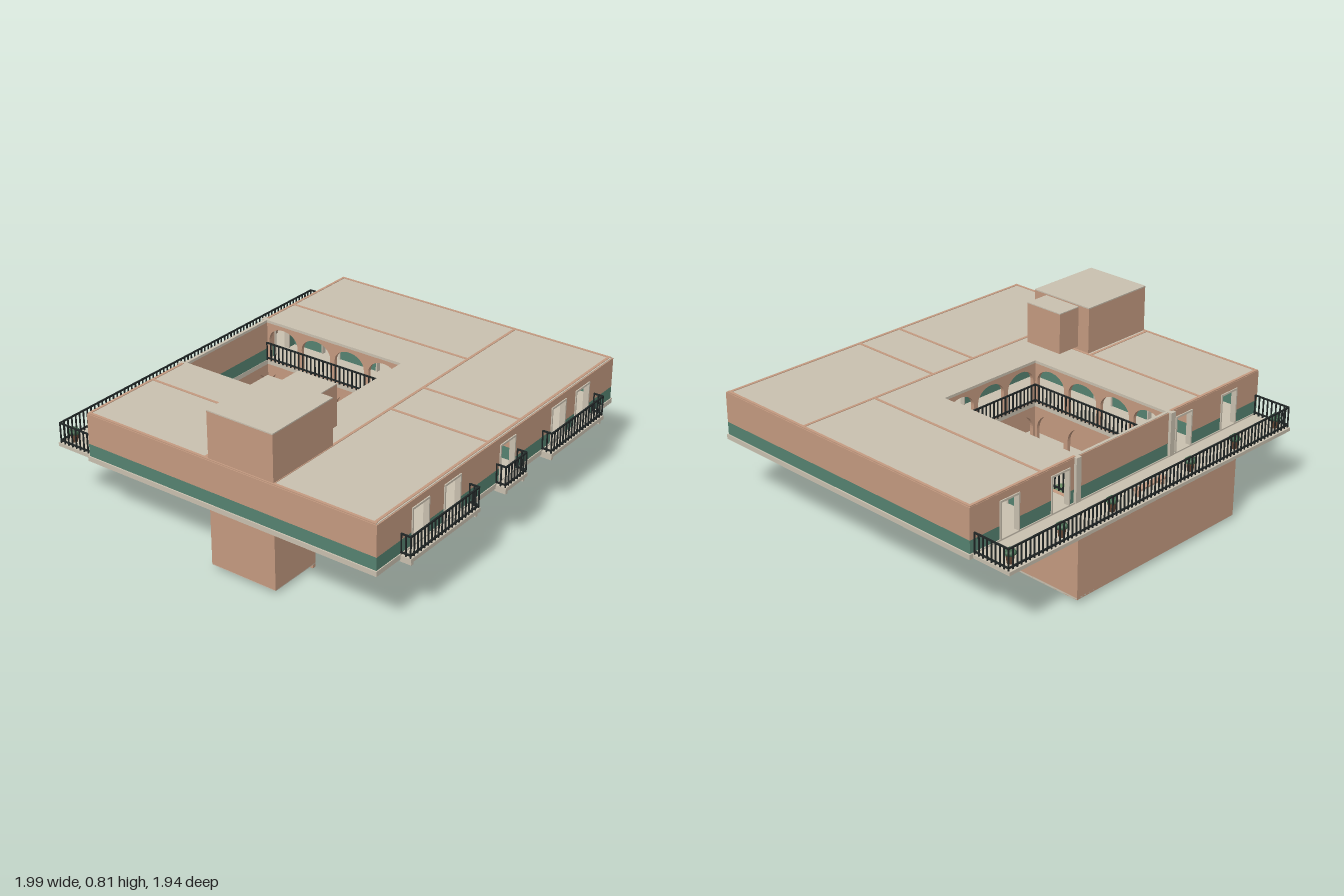
import * as THREE from 'three';
import { mergeGeometries } from 'three/addons/utils/BufferGeometryUtils.js';

const mat = (name, color, side = THREE.FrontSide) =>
  Object.assign(new THREE.MeshStandardMaterial({ color, side }), { name });

export function createModel() {
  const terracotta = mat('terracotta plaster', 0xc49a80);
  const stone = mat('pale stone', 0xc9c0af);
  const green = mat('green dado', 0x558270);
  const iron = mat('black iron', 0x202626);
  const leaf = mat('tree foliage', 0x6d8f65);
  const darkLeaf = mat('pot plant foliage', 0x41684c);
  const wood = mat('brown wood', 0x6b4a36);

  const root = new THREE.Group();
  const add = (name, geo, material) => {
    const m = new THREE.Mesh(geo, material);
    m.name = name;
    root.add(m);
    return m;
  };
  // box from its minimum and maximum corners
  const boxGeo = (x0, x1, y0, y1, z0, z1) =>
    new THREE.BoxGeometry(x1 - x0, y1 - y0, z1 - z0)
      .translate((x0 + x1) / 2, (y0 + y1) / 2, (z0 + z1) / 2);
  const box = (name, material, ...b) => add(name, boxGeo(...b), material);
  // box along x or z: a..b on the axis, c..d across it
  const along = (axis, a, b, y0, y1, c, d) =>
    axis === 'x' ? boxGeo(a, b, y0, y1, c, d) : boxGeo(c, d, y0, y1, a, b);

  const FLOOR = 0.345, DADO = 0.41, DOOR = 0.53, ROOF = 0.567;
  const court = { x: 0.31, z0: -0.73, z1: 0.11 };

  // flat slab with the courtyard cut out
  function courtSlab(name, x, z0, z1, yTop, h) {
    const rect = (P, a, b, c, d) => new P([[a, c], [b, c], [b, d], [a, d]].map(p => new THREE.Vector2(...p)));
    const s = rect(THREE.Shape, -x, x, z0, z1);
    s.holes.push(rect(THREE.Path, -court.x, court.x, court.z0, court.z1));
    const g = new THREE.ExtrudeGeometry(s, { depth: h, bevelEnabled: false });
    add(name, g.rotateX(Math.PI / 2).translate(0, yTop, 0), stone);
  }

  // upper storey wall with green dado, door openings and stone door frames
  function wall(name, axis, a, b, c, d, doors = [], outside = 0) {
    const low = [], high = [], frames = [];
    let p = a;
    for (const [s, e] of [...doors, [b, b]]) {
      if (s > p) {
        low.push(along(axis, p, s, FLOOR, DADO, c, d));
        high.push(along(axis, p, s, DADO, ROOF, c, d));
      }
      if (e > s) {
        high.push(along(axis, s, e, DOOR, ROOF, c, d));
        const f0 = c - 0.006, f1 = d + 0.006, w = 0.008;
        frames.push(along(axis, s, s + w, FLOOR, DOOR, f0, f1), along(axis, e - w, e, FLOOR, DOOR, f0, f1),
          along(axis, s, e, DOOR - w, DOOR + 0.002, f0, f1));
      }
      p = e;
    }
    add(name + 'Dado', mergeGeometries(low), green);
    add(name, mergeGeometries(high), terracotta);
    if (frames.length) add(name + 'DoorFrames', mergeGeometries(frames), stone);
  }

  // arcade: a wall pierced by round arches
  function arcade(name, axis, a, b, c, t, y0, y1, n, spring) {
    const s = new THREE.Shape([[a, y0], [b, y0], [b, y1], [a, y1]].map(p => new THREE.Vector2(...p)));
    const bay = (b - a) / n, r = bay / 2 - 0.014;
    for (let i = 0; i < n; i++) {
      const m = a + bay * (i + 0.5);
      const h = new THREE.Path();
      h.moveTo(m - r, y0 + 0.002);
      h.lineTo(m + r, y0 + 0.002);
      h.lineTo(m + r, spring);
      h.absellipse(m, spring, r, Math.min(r, y1 - spring - 0.02), 0, Math.PI, false);
      h.lineTo(m - r, y0 + 0.002);
      s.holes.push(h);
    }
    const g = new THREE.ExtrudeGeometry(s, { depth: t, bevelEnabled: false, curveSegments: 10 });
    if (axis === 'z') g.rotateY(-Math.PI / 2).translate(c + t, 0, 0);
    else g.translate(0, 0, c);
    add(name, g, terracotta);
  }

  // iron railing through a list of [x, z] points
  function railing(name, pts, y0 = FLOOR, y1 = 0.447) {
    const parts = [];
    for (let i = 0; i + 1 < pts.length; i++) {
      const [x0, z0] = pts[i], [x1, z1] = pts[i + 1];
      const axis = Math.abs(x1 - x0) > Math.abs(z1 - z0) ? 'x' : 'z';
      const [a, b] = (axis === 'x' ? [x0, x1] : [z0, z1]).sort((p, q) => p - q);
      const c = axis === 'x' ? z0 : x0;
      for (const y of [y0 + 0.01, y1 - 0.007])
        parts.push(along(axis, a, b, y, y + 0.007, c - 0.004, c + 0.004));
      const n = Math.max(2, Math.round((b - a) / 0.026));
      for (let k = 0; k <= n; k++) {
        const u = a + (b - a) * k / n;
        parts.push(along(axis, u - 0.003, u + 0.003, y0, y1, c - 0.003, c + 0.003));
      }
    }
    add(name, mergeGeometries(parts), iron);
  }

  // ground floor: hollow block under the courtyard and its galleries
  box('groundFloor', stone, -0.55, 0.55, 0.02, 0.03, -0.97, 0.36);
  for (const s of [-1, 1])
    box('groundSideWall', terracotta, Math.min(s * 0.55, s * 0.535), Math.max(s * 0.55, s * 0.535), 0.021, 0.32, -0.97, 0.36);
  box('groundBackWall', terracotta, -0.535, 0.535, 0.021, 0.32, -0.97, -0.955);
  box('groundFrontWall', terracotta, -0.535, 0.535, 0.021, 0.32, 0.345, 0.36);

  // stairwell block and its threshold
  box('stairwellBase', terracotta, -0.98, -0.69, 0.022, 0.32, -0.02, 0.35);
  box('stairwellFloor', stone, -0.98, -0.69, 0.018, 0.022, -0.02, 0.35);
  box('threshold', terracotta, -0.71, -0.69, 0, 0.018, 0.17, 0.35);

  // slabs
  courtSlab('upperFloor', 0.997, -0.755, 0.913, FLOOR, 0.025);
  box('backGalleryFloor', stone, -0.975, 0.975, 0.32, 0.338, -0.97, -0.755);
  box('frontSoffit', terracotta, -0.98, 0.98, 0.317, 0.32, 0.362, 0.9);
  courtSlab('roof', 0.985, -0.745, 0.903, 0.57, 0.014);

  // outer walls of the upper storey
  const frontDoors = [[-0.735, -0.605], [-0.49, -0.36], [-0.04, 0.09], [0.41, 0.54], [0.63, 0.76]];
  const backDoors = [[-0.82, -0.7], [-0.48, -0.36], [0.37, 0.49], [0.69, 0.81]];
  wall('frontWall', 'x', -0.99, 0.99, 0.89, 0.908, frontDoors);
  wall('backWall', 'x', -0.99, 0.99, -0.75, -0.732, backDoors);
  wall('rightWall', 'z', -0.732, 0.89, 0.972, 0.99);
  wall('leftWall', 'z', -0.732, 0.89, -0.99, -0.972);

  // inner room walls
  wall('galleryWallLeft', 'z', -0.732, 0.34, -0.555, -0.541, [[-0.55, -0.43], [-0.2, -0.08]]);
  wall('galleryWallRight', 'z', -0.732, 0.34, 0.537, 0.551, [[-0.55, -0.43], [-0.2, -0.08]]);
  wall('galleryWallFront', 'x', -0.972, 0.972, 0.34, 0.354, [[-0.04, 0.09]]);
  wall('frontRoomWallA', 'z', 0.354, 0.89, -0.117, -0.103);
  wall('frontRoomWallB', 'z', 0.354, 0.89, 0.153, 0.167);
  wall('stairRoomWall', 'x', -0.972, -0.555, 0.0 - 0.047, -0.033);

  // wall tops showing as thin lines in the roof
  const lines = [['x', -0.985, 0.985, 0.889], ['x', -0.985, -0.33, -0.741], ['x', 0.33, 0.985, -0.741], ['x', -0.98, 0.98, 0.347],
    ['z', -0.74, 0.9, -0.979], ['z', -0.74, 0.9, 0.979], ['z', -0.74, 0.347, -0.548], ['z', -0.74, 0.347, 0.544],
    ['z', 0.347, 0.89, -0.11], ['z', 0.347, 0.89, 0.16], ['x', -0.98, -0.55, -0.04]];
  add('roofLines', mergeGeometries(lines.map(([ax, a, b, c]) =>
    along(ax, a, b, 0.566, 0.5725, c - 0.007, c + 0.007))), terracotta);
  for (const x of [-0.325, 0.325]) box('backPilaster', stone, x - 0.016, x + 0.016, FLOOR, 0.57, -0.765, -0.735);

  // courtyard arcades on both floors, with railings above
  const cx = court.x;
  for (const [tag, y0, y1, spring] of [['lower', 0.03, 0.32, 0.2], ['upper', FLOOR, 0.556, 0.465]]) {
    arcade(tag + 'ArcadeLeft', 'z', court.z0, court.z1, -cx - 0.02, 0.02, y0, y1, 4, spring);
    arcade(tag + 'ArcadeRight', 'z', court.z0, court.z1, cx, 0.02, y0, y1, 4, spring);
    arcade(tag + 'ArcadeFront', 'x', -cx, cx, court.z1, 0.02, y0, y1, 3, spring);
  }
  arcade('lowerArcadeBack', 'x', -cx, cx, -0.75, 0.02, 0.03, 0.32, 3, 0.2);
  railing('courtyardRailing', [[-cx + 0.006, court.z0], [-cx + 0.006, court.z1 - 0.006],
    [cx - 0.006, court.z1 - 0.006], [cx - 0.006, court.z0]]);

  // roof tower and its smaller annex
  box('tower', terracotta, -0.98, -0.555, 0.568, 0.808, -0.02, 0.35);
  box('towerRoof', stone, -0.98, -0.555, 0.808, 0.814, -0.02, 0.35);
  box('annex', terracotta, -0.555, -0.42, 0.588, 0.798, 0.05, 0.27);
  box('annexRoof', stone, -0.555, -0.42, 0.798, 0.803, 0.05, 0.27);

  // front balconies on brackets
  for (const [a, b] of [[-0.82, -0.28], [-0.07, 0.118], [0.33, 0.82]]) {
    box('balconyFloor', stone, a, b, 0.318, 0.338, 0.9, 0.967);
    for (const x of [a + 0.02, b - 0.02]) box('balconyBracket', stone, x - 0.008, x + 0.008, 0.298, 0.318, 0.9, 0.96);
    railing('balconyRailing', [[a + 0.006, 0.91], [a + 0.006, 0.96], [b - 0.006, 0.96], [b - 0.006, 0.91]], 0.338);
  }

  // back gallery railing, bench and potted plants
  railing('backRailing', [[-0.968, -0.757], [-0.968, -0.958], [0.968, -0.958], [0.968, -0.757]], 0.338);
  box('benchSeat', terracotta, -0.1, 0.1, 0.365, 0.375, -0.92, -0.89);
  for (const x of [-0.085, 0.085]) box('benchLeg', terracotta, x - 0.008, x + 0.008, 0.338, 0.365, -0.915, -0.895);

  function pottedPlant(x, y, z, r) {
    add('plantPot', new THREE.CylinderGeometry(r * 0.75, r * 0.5, r * 1.5, 12).translate(x, y + r * 0.75, z), wood);
    const blobs = [];
    for (let i = 0; i < 7; i++) {
      const a = i * Math.PI / 3, d = i < 6 ? r * 0.55 : 0;
      blobs.push(new THREE.IcosahedronGeometry(r * 0.5, 1)
        .translate(x + Math.cos(a) * d, y + r * (i < 6 ? 1.9 : 2.3), z + Math.sin(a) * d));
    }
    add('plantLeaves', mergeGeometries(blobs), darkLeaf);
  }
  for (const x of [-0.92, -0.605, -0.277, 0.27, 0.597, 0.915]) pottedPlant(x, 0.338, -0.915, 0.028);
  for (const [x, z] of [[-0.26, -0.675], [-0.26, 0.06], [0.255, 0.06]]) pottedPlant(x, 0.03, z, 0.037);

  // courtyard tree
  add('treeTrunk', new THREE.CylinderGeometry(0.012, 0.02, 0.13, 10).translate(0.14, 0.095, -0.5), wood);
  const crown = [[0.14, 0.19, -0.5, 0.085], [0.13, 0.21, -0.54, 0.068], [0.17, 0.17, -0.59, 0.06], [0.23, 0.18, -0.54, 0.06],
    [0.22, 0.16, -0.45, 0.058], [0.1, 0.16, -0.42, 0.062], [0.06, 0.17, -0.52, 0.06], [0.16, 0.15, -0.43, 0.06]];
  add('treeCrown', mergeGeometries(crown.map(([x, y, z, r]) =>
    new THREE.IcosahedronGeometry(r, 3).scale(1, 0.85, 1).translate(x, y, z))), leaf);

  // bed in the right front room
  box('bed', leaf, 0.63, 0.72, FLOOR, 0.47, 0.5, 0.7);

  return root;
}
